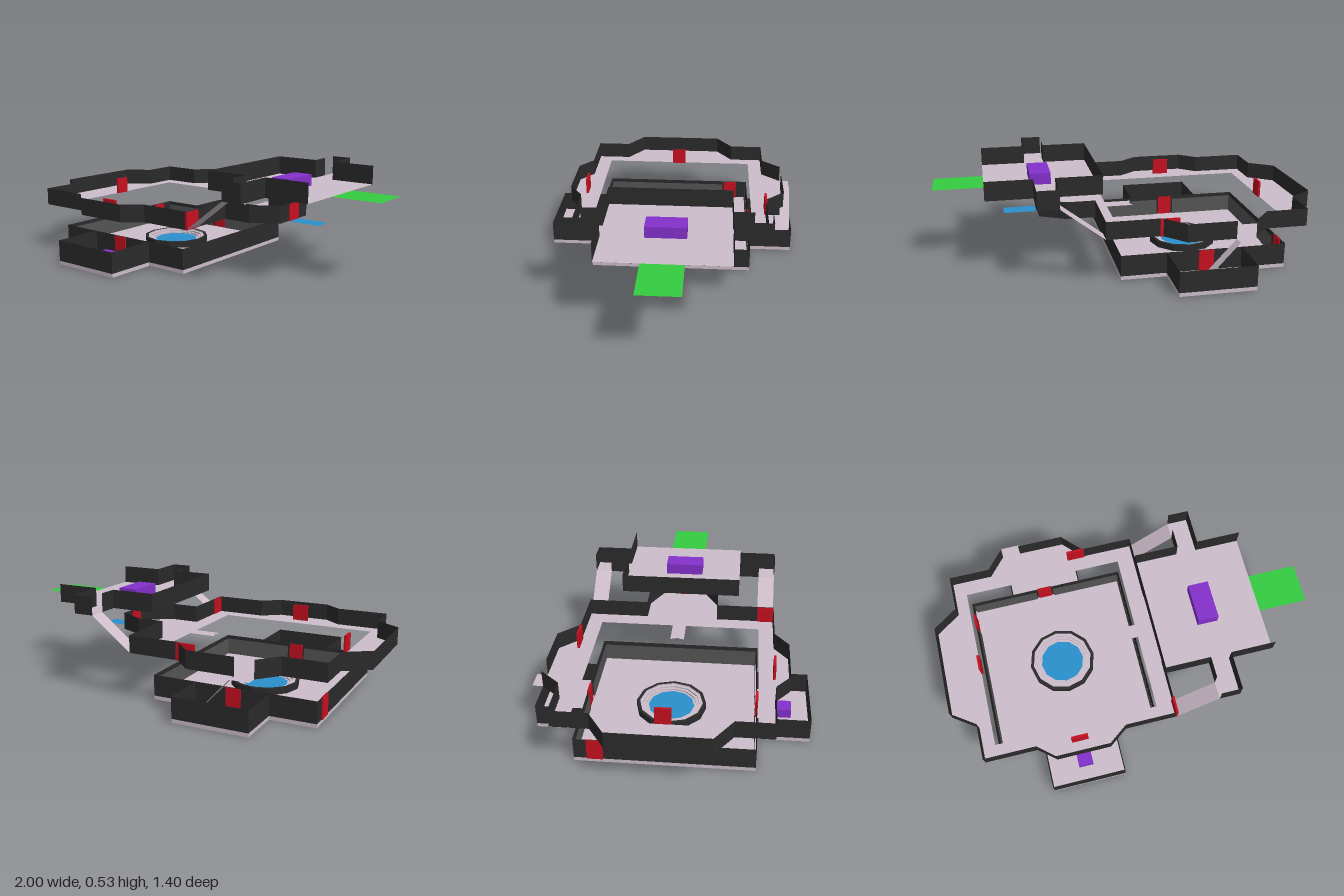
import * as THREE from 'three';

const mat = (color) => new THREE.MeshStandardMaterial({ color, side: THREE.DoubleSide, flatShading: true });
const pink = mat(0xcdbdca), black = mat(0x2b2b2b), grey = mat(0x555555), red = mat(0xc81020);
const blue = mat(0x2a90cc), purple = mat(0x8430cc), green = mat(0x35cc40);

// Plan points are [x, z]; shapes use -z so that their normals point up after rotation
const plan = (points) => points.map(([x, z]) => new THREE.Vector2(x, -z));
const rect = (x0, x1, z0, z1) => [[x0, z0], [x0, z1], [x1, z1], [x1, z0]];

export function createModel() {
  const group = new THREE.Group();

  function add(name, geometry, material) {
    const mesh = new THREE.Mesh(geometry, material);
    mesh.name = name;
    group.add(mesh);
    return mesh;
  }

  // Horizontal sheet or slab from a plan outline
  function floor(name, points, y, material, holes = [], depth = 0) {
    const shape = new THREE.Shape(plan(points));
    holes.forEach((h) => shape.holes.push(new THREE.Path(plan(h))));
    const geo = depth
      ? new THREE.ExtrudeGeometry(shape, { depth, bevelEnabled: false })
      : new THREE.ShapeGeometry(shape);
    geo.rotateX(-Math.PI / 2).translate(0, y, 0);
    return add(name, geo, material);
  }

  // Upright thin wall along a plan path
  function wall(name, points, y0, y1, material = black) {
    const pos = [], index = [];
    for (let i = 0; i < points.length - 1; i++) {
      const [ax, az] = points[i], [bx, bz] = points[i + 1], n = i * 4;
      pos.push(ax, y0, az, bx, y0, bz, bx, y1, bz, ax, y1, az);
      index.push(n, n + 1, n + 2, n, n + 2, n + 3);
    }
    const geo = new THREE.BufferGeometry();
    geo.setAttribute('position', new THREE.Float32BufferAttribute(pos, 3));
    geo.setIndex(index);
    geo.computeVertexNormals();
    return add(name, geo, material);
  }

  // Door panel standing at y, wide along x or along z
  function door(x, z, y, h, width, alongX) {
    const t = 0.012;
    add('door', new THREE.BoxGeometry(alongX ? width : t, h, alongX ? t : width), red)
      .position.set(x, y + h / 2, z);
  }

  // Sloped sheet rising from x0,y0 to x1,y1
  function ramp(x0, y0, x1, y1, z0, z1) {
    const geo = new THREE.PlaneGeometry(Math.hypot(x1 - x0, y1 - y0), z1 - z0).rotateX(-Math.PI / 2);
    const mesh = add('ramp', geo, pink);
    mesh.position.set((x0 + x1) / 2, (y0 + y1) / 2, (z0 + z1) / 2);
    mesh.rotation.z = Math.atan((y1 - y0) / (x1 - x0));
  }

  // Lower level: cross-shaped slab and walls
  const cross = [
    [-0.8, 0.43], [-0.56, 0.43], [-0.56, 0.7], [-0.16, 0.7], [-0.16, 0.43], [0.08, 0.43],
    [0.08, -0.455], [-0.16, -0.455], [-0.16, -0.7], [-0.56, -0.7], [-0.56, -0.455], [-0.8, -0.455],
  ];
  floor('lowerFloor', cross, 0, pink, [], 0.02);
  wall('lowerWalls', [...cross, cross[0]], 0.02, 0.133);
  for (const z of [0.43, -0.455]) {
    wall('lowerPartition', [[-0.56, z], [-0.16, z]], 0.02, 0.133);
    door(-0.37, z, 0.02, 0.11, 0.08, true);
  }
  door(-0.8, -0.35, 0.02, 0.11, 0.08, false);

  // Grey lining panels inside the lower room
  for (const z of [0.42, -0.445]) {
    wall('wallPanel', [[-0.79, z], [-0.42, z]], 0.02, 0.115, grey);
    wall('wallPanel', [[-0.32, z], [0.07, z]], 0.02, 0.115, grey);
  }
  wall('wallPanel', [[-0.79, -0.3], [-0.79, 0.42]], 0.02, 0.115, grey);
  wall('wallPanel', [[0.07, -0.445], [0.07, 0.42]], 0.02, 0.115, grey);

  // Stepped round pool
  const ring = (name, profile, material) => {
    const points = profile.map(([r, y]) => new THREE.Vector2(r, y));
    add(name, new THREE.LatheGeometry(points, 12), material).position.set(-0.36, 0.02, -0.02);
  };
  ring('poolRim', [[0.185, 0], [0.185, 0.035], [0.168, 0.035]], black);
  ring('poolSteps', [[0.168, 0.035], [0.168, 0.028], [0.15, 0.028], [0.15, 0.02],
    [0.135, 0.02], [0.135, 0.012], [0.12, 0.012]], pink);
  ring('poolWater', [[0.122, 0.014], [0, 0.014]], blue);

  // Chest in the front arm
  add('lowerChest', new THREE.BoxGeometry(0.08, 0.05, 0.1), purple).position.set(-0.36, 0.045, 0.56);

  // Middle level: gallery with a rectangular opening and a notched board
  const Y = 0.26, T = 0.353;
  const gallery = [
    [-1, 0.23], [-0.87, 0.32], [-0.87, 0.51], [-0.59, 0.51], [-0.5, 0.585], [-0.21, 0.585], [-0.11, 0.51],
    [0.17, 0.51], [0.17, 0.19], [0.32, 0.19], [0.46, 0.11], [0.46, -0.14], [0.32, -0.21], [0.17, -0.21],
    [0.17, -0.54], [-0.11, -0.54], [-0.21, -0.645], [-0.46, -0.645], [-0.46, -0.7], [-0.56, -0.7],
    [-0.56, -0.645], [-0.65, -0.54], [-0.87, -0.54], [-0.87, -0.35], [-1, -0.26],
  ];
  const opening = [
    [-0.805, 0.43], [0.08, 0.43], [0.08, 0.02], [-0.065, 0.02], [-0.052, -0.018],
    [-0.065, -0.055], [0.08, -0.055], [0.08, -0.46], [-0.805, -0.46],
  ];
  floor('galleryFloor', gallery, Y, pink, [opening]);
  wall('galleryWalls', gallery.slice(0, 18), Y, T);
  wall('galleryWalls', [...gallery.slice(20), gallery[0]], Y, T);
  door(-0.8, -0.015, Y, 0.09, 0.08, false);
  door(0.46, -0.013, Y, 0.09, 0.085, false);
  door(0.17, 0.465, Y, 0.09, 0.09, false);
  door(-0.36, 0.51, Y, 0.09, 0.09, true);
  door(-0.15, -0.54, Y, 0.09, 0.1, true);
  floor('blueBalcony', rect(0.46, 0.64, -0.055, 0.035), Y, blue);

  // Ramps between the levels
  ramp(-0.24, 0.02, -0.46, Y, -0.7, -0.645);
  ramp(0.17, Y, 0.39, 0.43, -0.54, -0.45);
  ramp(0.17, Y, 0.39, 0.43, 0.42, 0.51);

  // Upper deck with two wings, open towards the green balcony
  const D = 0.43, E = 0.53;
  const deck = [
    [0.74, 0.31], [0.5, 0.31], [0.5, 0.51], [0.39, 0.51], [0.39, 0.31], [0.15, 0.31],
    [0.15, -0.345], [0.39, -0.345], [0.39, -0.54], [0.5, -0.54], [0.5, -0.345], [0.74, -0.345],
  ];
  const chest = rect(0.39, 0.5, -0.12, 0.09);
  floor('deckFloor', deck, D, pink, [chest]);
  wall('deckWalls', deck.slice(0, 4), D, E);
  wall('deckWalls', [[0.39, 0.42], ...deck.slice(4, 8), [0.39, -0.45]], D, E);
  wall('deckWalls', deck.slice(8), D, E);
  floor('greenBalcony', rect(0.74, 1, -0.12, 0.09), D, green);

  // Hollow chest on the deck
  wall('chestSides', [...chest, chest[0]], D, 0.49, purple);
  floor('chestLid', chest, 0.49, purple);

  return group;
}
